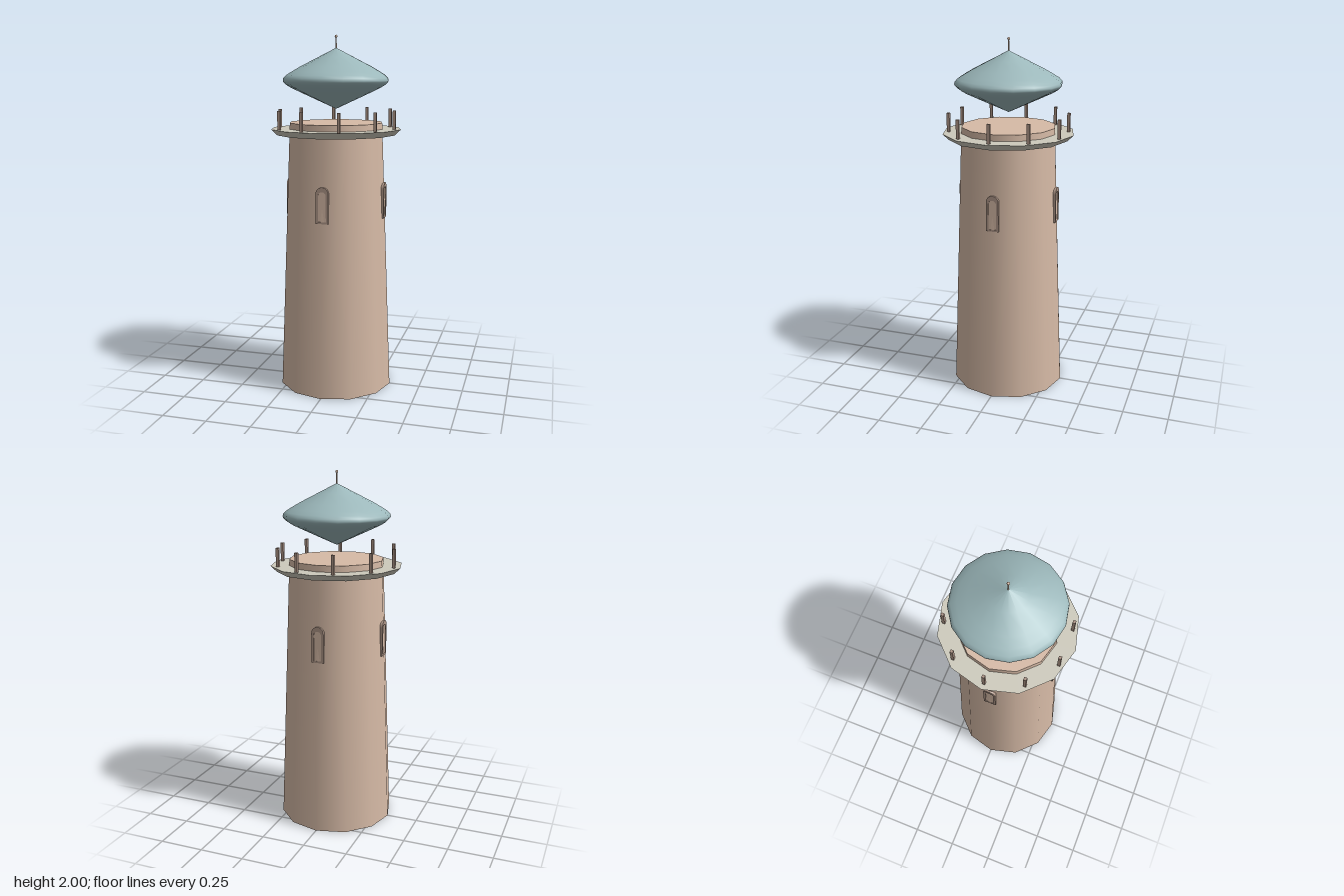
import * as THREE from 'three';

const material = (name, color) => Object.assign(new THREE.MeshStandardMaterial({ color }), { name });

// Arched outline standing on y = base
function traceArch(path, halfWidth, base, top) {
  path.moveTo(-halfWidth, base);
  path.lineTo(halfWidth, base);
  path.lineTo(halfWidth, top - halfWidth);
  path.absarc(0, top - halfWidth, halfWidth, 0, Math.PI, false);
  path.lineTo(-halfWidth, base);
  return path;
}

export function createModel() {
  const plaster = material('plaster', 0xd6baa6);
  const trim = material('brown trim', 0xac9486);
  const stone = material('gallery stone', 0xcdcabc);
  const roofing = material('blue grey roof', 0x9cb8bb);

  const model = new THREE.Group();
  model.name = 'lighthouse';
  const add = (name, geometry, mat, parent = model) => {
    const mesh = new THREE.Mesh(geometry, mat);
    mesh.name = name;
    parent.add(mesh);
    return mesh;
  };

  // Tapered twelve-sided tower
  add('tower', new THREE.CylinderGeometry(0.265, 0.325, 1.52, 12), plaster).position.y = 0.76;

  // Faceted gallery, flaring upward
  const deck = new THREE.CylinderGeometry(0.37, 0.335, 0.033, 12).toNonIndexed();
  deck.computeVertexNormals();
  add('gallery', deck, stone).position.y = 1.469;

  // Ten square railing posts
  const postGeometry = new THREE.BoxGeometry(0.016, 0.105, 0.016);
  for (let i = 0; i < 10; i++) {
    const a = (i * Math.PI) / 5;
    add('railingPost', postGeometry, trim)
      .position.set(0.333 * Math.cos(a), 1.537, 0.333 * Math.sin(a));
  }

  // Four arched windows set into the wall
  const arch = traceArch(new THREE.Shape(), 0.035, 0.99, 1.19);
  arch.holes.push(traceArch(new THREE.Path(), 0.022, 1.0, 1.165));
  const frameGeometry = new THREE.ExtrudeGeometry(arch, { depth: 0.038, bevelEnabled: false, curveSegments: 8 });
  const paneGeometry = new THREE.ExtrudeGeometry(
    traceArch(new THREE.Shape(), 0.023, 1.0, 1.166),
    { depth: 0.009, bevelEnabled: false, curveSegments: 8 });
  for (let i = 0; i < 4; i++) {
    const win = new THREE.Group();
    win.name = 'window';
    win.rotation.y = (i * Math.PI) / 2;
    add('windowFrame', frameGeometry, trim, win).position.z = 0.248;
    add('windowPane', paneGeometry, plaster, win).position.z = 0.2735;
    model.add(win);
  }

  // Floating roof with a rounded rim
  const profile = [
    [0, 1.595], [0.1, 1.641], [0.18, 1.678], [0.25, 1.711], [0.28, 1.729],
    [0.294, 1.743], [0.297, 1.752], [0.294, 1.765], [0.28, 1.78], [0.25, 1.799],
    [0.2, 1.828], [0.1, 1.879], [0, 1.93],
  ].map(([r, y]) => new THREE.Vector2(r, y));
  add('roof', new THREE.LatheGeometry(profile, 16), roofing);

  // Finial
  add('finialRod', new THREE.CylinderGeometry(0.003, 0.004, 0.075, 8), plaster).position.y = 1.957;
  add('finialBall', new THREE.SphereGeometry(0.008, 10, 8), plaster).position.y = 1.992;

  return model;
}
